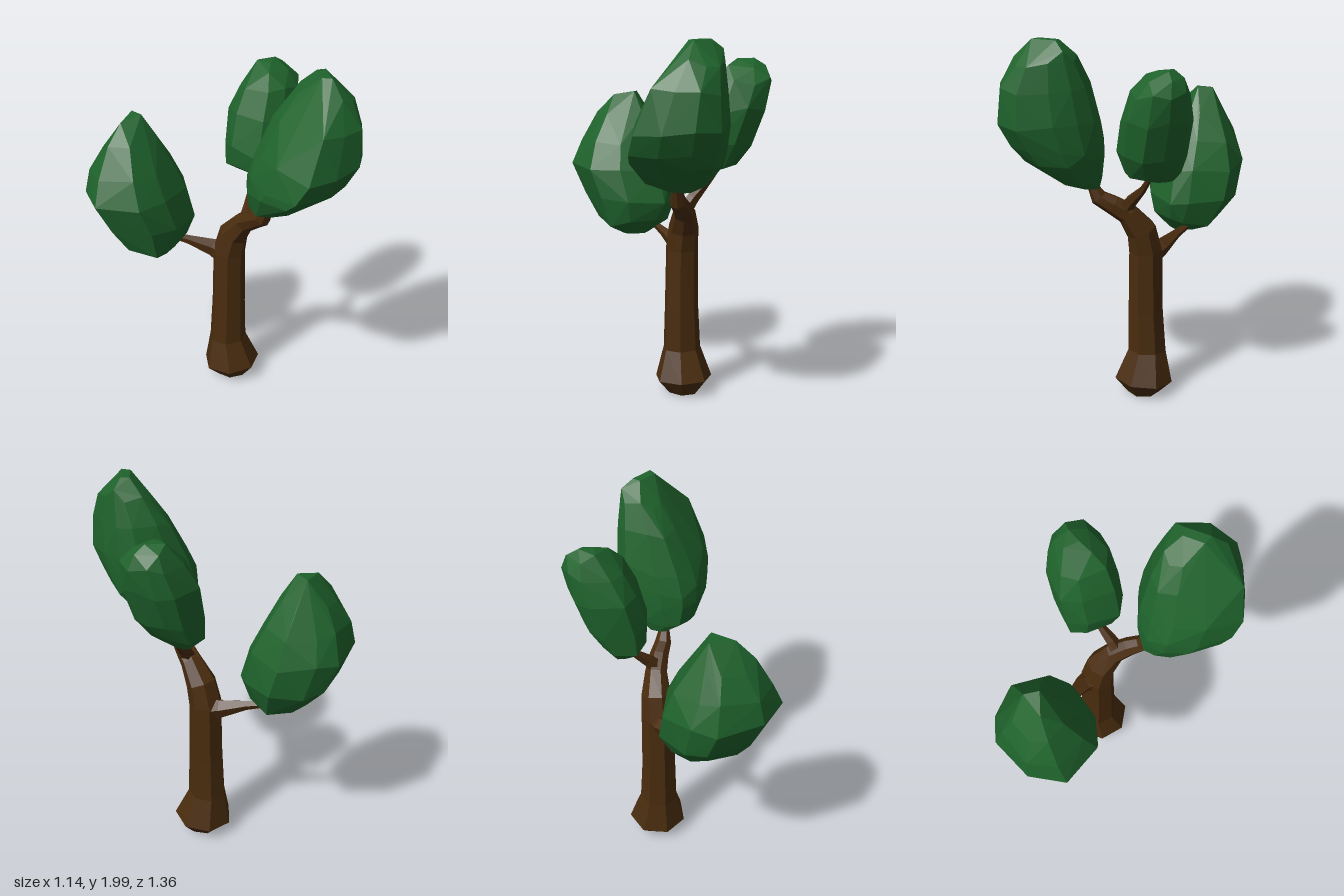
import * as THREE from 'three';
import { ConvexGeometry } from 'three/addons/geometries/ConvexGeometry.js';

const bark = new THREE.MeshStandardMaterial({ color: 0x492c0e, flatShading: true });
bark.name = 'bark brown';
const leaf = new THREE.MeshStandardMaterial({ color: 0x1f632c, flatShading: true });
leaf.name = 'leaf green';

// Small seeded generator for the uneven facets
function seeded(seed) {
  let s = seed;
  return () => (s = (s * 16807) % 2147483647) / 2147483647;
}

// Tapered limb: closed loft through points [x, y, z, radius]
function limb(name, rows, sides, twist = 0) {
  const pts = rows.map(([x, y, z]) => new THREE.Vector3(x, y, z));
  const pos = [], index = [];
  pts.forEach((p, i) => {
    const t = pts[Math.min(i + 1, pts.length - 1)].clone().sub(pts[Math.max(i - 1, 0)]).normalize();
    const u = new THREE.Vector3(1, 0, 0).addScaledVector(t, -t.x).normalize();
    const v = t.clone().cross(u);
    for (let j = 0; j < sides; j++) {
      const a = twist + (j / sides) * Math.PI * 2;
      const q = p.clone().addScaledVector(u, Math.cos(a) * rows[i][3]).addScaledVector(v, Math.sin(a) * rows[i][3]);
      pos.push(q.x, q.y, q.z);
    }
  });
  const last = pts.length - 1;
  for (let i = 0; i < last; i++) {
    for (let j = 0; j < sides; j++) {
      const k = (j + 1) % sides, a = i * sides, b = a + sides;
      index.push(a + j, a + k, b + j, a + k, b + k, b + j);
    }
  }
  // End caps
  for (let j = 1; j < sides - 1; j++) {
    index.push(0, j + 1, j, last * sides, last * sides + j, last * sides + j + 1);
  }
  const g = new THREE.BufferGeometry();
  g.setAttribute('position', new THREE.Float32BufferAttribute(pos, 3));
  g.setIndex(index);
  const flat = g.toNonIndexed();
  flat.computeVertexNormals();
  const mesh = new THREE.Mesh(flat, bark);
  mesh.name = name;
  return mesh;
}

// Faceted leaf clump: a unit footprint [x, z] fitted into slices
// [y, xMin, xMax, zMin, zMax], closed by a top ridge of points, then hulled
function clump(name, footprint, slices, ridge, seed) {
  const rnd = seeded(seed);
  const pts = ridge.map((p) => new THREE.Vector3(...p));
  slices.forEach(([y, x0, x1, z0, z1], i) => {
    for (const [fx, fz] of footprint) {
      const k = 0.96 + rnd() * 0.06;
      pts.push(new THREE.Vector3(
        (x0 + x1) / 2 + (fx * k * (x1 - x0)) / 2,
        y + (i === 0 ? 0 : (rnd() - 0.5) * 0.04),
        (z0 + z1) / 2 + (fz * k * (z1 - z0)) / 2));
    }
  });
  const mesh = new THREE.Mesh(new ConvexGeometry(pts), leaf);
  mesh.name = name;
  return mesh;
}

export function createModel() {
  const tree = new THREE.Group();
  tree.name = 'tree';

  // Trunk with flared foot, bending forward at the top
  tree.add(limb('trunk', [
    [0.11, 0.012, -0.07, 0.09], [0.113, 0.09, -0.07, 0.16], [0.1, 0.26, -0.09, 0.105],
    [0.098, 0.5, -0.082, 0.095], [0.1, 0.84, -0.08, 0.09], [0.112, 0.96, -0.055, 0.082],
    [0.125, 1.06, 0.02, 0.06], [0.122, 1.11, 0.1, 0.052], [0.112, 1.15, 0.17, 0.045],
    [0.11, 1.25, 0.22, 0.02],
  ], 7, 0.3));

  // Side branches
  tree.add(limb('leftBranch', [
    [0.12, 1.07, 0.04, 0.045], [0.17, 1.14, 0.01, 0.034], [0.24, 1.22, -0.04, 0.02], [0.32, 1.33, -0.08, 0.012],
  ], 5));
  tree.add(limb('backBranch', [
    [0.1, 0.81, -0.08, 0.075], [0.06, 0.84, -0.17, 0.05], [-0.03, 0.88, -0.27, 0.026], [-0.14, 0.92, -0.4, 0.012],
  ], 5));

  // Leaf clumps
  tree.add(clump('frontLeaves', [
    [-1, 0.05], [-0.95, 0.83], [-0.31, 1], [0.38, 0.97], [0.87, 0.65], [1, -0.02],
    [0.9, -0.5], [0.62, -0.84], [-0.1, -1], [-0.6, -0.93], [-0.85, -0.55],
  ], [
    [1.22, 0.08, 0.2, 0.165, 0.27], [1.28, -0.04, 0.27, 0.145, 0.4], [1.4, -0.09, 0.36, 0.135, 0.56],
    [1.46, -0.09, 0.385, 0.14, 0.625], [1.58, -0.06, 0.405, 0.16, 0.685], [1.77, 0.04, 0.39, 0.21, 0.665],
    [1.9, 0.13, 0.375, 0.28, 0.59],
  ], [[0.2, 2, 0.46], [0.23, 2, 0.5], [0.3, 2, 0.39], [0.26, 2, 0.37], [0.355, 1.955, 0.36]], 17));
  tree.add(clump('backLeaves', [
    [-0.02, -1], [-0.76, -0.5], [-1, 0.23], [-0.5, 0.96], [0.1, 1], [0.83, 0.68],
    [1, 0.31], [0.98, -0.5], [0.42, -0.9],
  ], [
    [0.86, -0.29, -0.13, -0.42, -0.26], [0.93, -0.42, -0.03, -0.53, -0.18], [1.06, -0.5, 0.025, -0.64, -0.155],
    [1.23, -0.575, 0.0, -0.68, -0.17], [1.38, -0.53, -0.055, -0.64, -0.24], [1.51, -0.44, -0.14, -0.57, -0.32],
  ], [[-0.34, 1.63, -0.43], [-0.22, 1.65, -0.41], [-0.22, 1.645, -0.49]], 91));
  tree.add(clump('leftLeaves', [
    [0.17, -1], [-0.75, -0.78], [-1, -0.2], [-0.8, 0.78], [-0.2, 1], [0.5, 0.88],
    [0.97, 0.4], [0.99, -0.2], [0.62, -0.76],
  ], [
    [1.28, 0.23, 0.32, -0.2, -0.06], [1.33, 0.15, 0.4, -0.23, 0.055], [1.44, 0.14, 0.48, -0.25, 0.1],
    [1.62, 0.185, 0.545, -0.265, 0.085], [1.76, 0.255, 0.565, -0.24, 0.045], [1.82, 0.32, 0.53, -0.21, -0.02],
  ], [[0.38, 1.865, -0.17], [0.4, 1.865, -0.09], [0.47, 1.87, -0.13]], 53));
  return tree;
}
